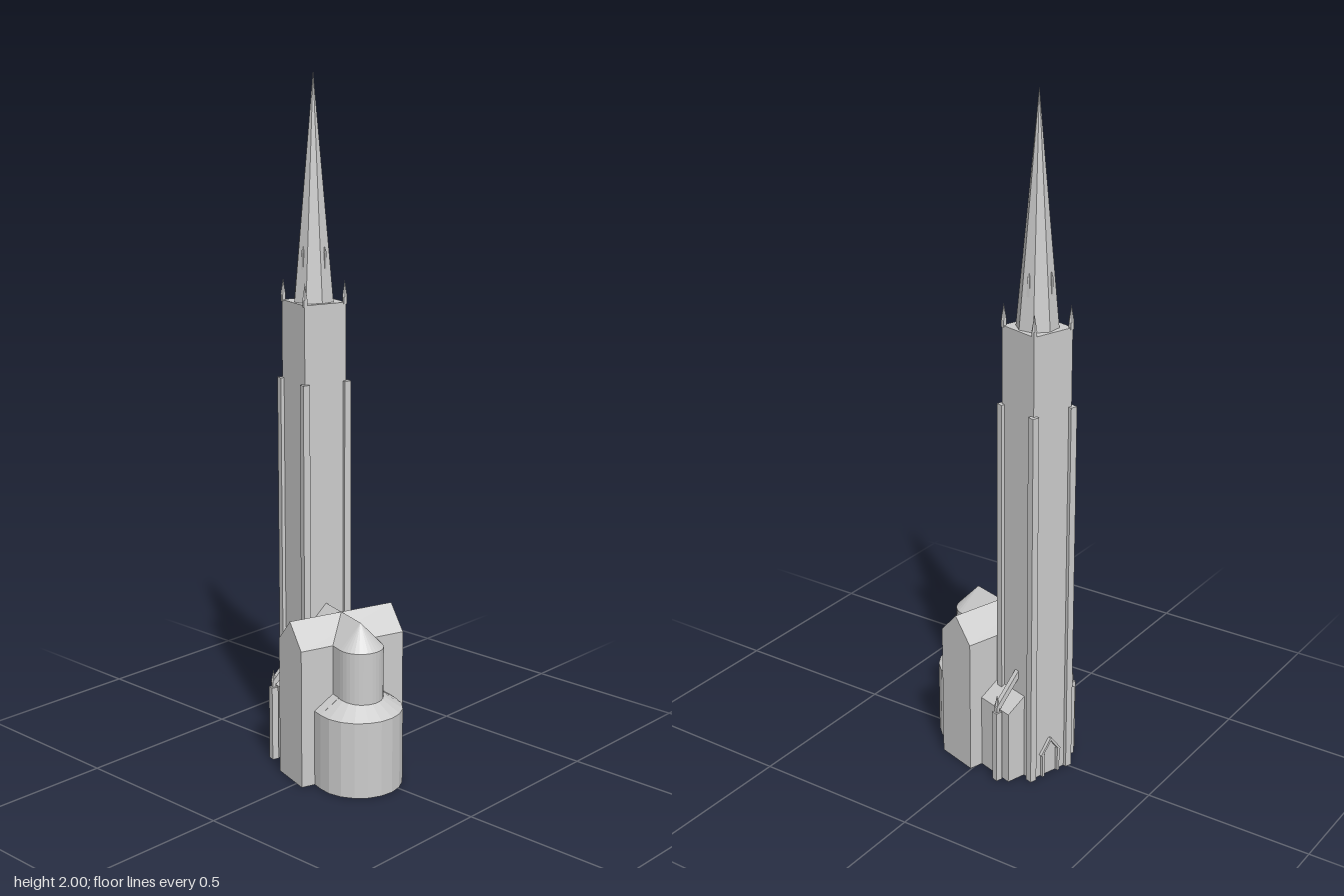
import * as THREE from 'three';

const stone = new THREE.MeshStandardMaterial({ color: 0xcccccc, flatShading: true });
stone.name = 'pale stone';

// Church frame: +x runs from the tower to the apse, origin at the crossing
const HALF = 0.066, EAVES = 0.41, RIDGE = 0.48;
const AISLE = 0.126, AISLE_EAVES = 0.225, AISLE_TOP = 0.265;
const TOWER_X = -0.156, TOWER_HALF = 0.067, TOWER_TOP = 1.36;

export function createModel() {
  const model = new THREE.Group();
  model.name = 'church';
  const church = new THREE.Group();
  church.name = 'churchBody';
  church.position.set(0.017, 0, 0.005);
  const yaw = THREE.MathUtils.degToRad(17);
  church.rotation.y = -yaw;
  model.add(church);

  const add = (name, geometry, x = 0, y = 0, z = 0, parent = church) => {
    const mesh = new THREE.Mesh(geometry, stone);
    mesh.name = name;
    mesh.position.set(x, y, z);
    parent.add(mesh);
    return mesh;
  };
  const box = (name, w, h, d, x, y, z, parent) =>
    add(name, new THREE.BoxGeometry(w, h, d), x, y + h / 2, z, parent);

  // Extrudes a (z, y) outline along x from x0 to x1
  const prism = (name, outline, x0, x1) => {
    const shape = new THREE.Shape(outline.map(([z, y]) => new THREE.Vector2(-z, y)));
    const g = new THREE.ExtrudeGeometry(shape, { depth: x1 - x0, bevelEnabled: false });
    g.rotateY(Math.PI / 2);
    return add(name, g, x0, 0, 0);
  };
  const gable = [[-HALF, 0], [HALF, 0], [HALF, EAVES], [0, RIDGE], [-HALF, EAVES]];

  // Nave, choir and transept with crossing gabled roofs
  prism('naveAndChoir', gable, -0.12, 0.108);
  const transept = prism('transept', gable, -0.168, 0.168);
  transept.rotation.y = Math.PI / 2;
  transept.position.set(0, 0, 0.168);

  // Rounded apse and the lower ambulatory around it
  const halfRound = (name, points, segments, x) => add(name, new THREE.LatheGeometry(
    points.map(([r, y]) => new THREE.Vector2(r, y)), segments, 0, Math.PI), x);
  halfRound('apse', [[0, 0], [HALF, 0], [HALF, EAVES], [0, RIDGE]], 16, 0.108);
  halfRound('ambulatory', [[0, 0], [AISLE, 0], [AISLE, AISLE_EAVES],
    [HALF - 0.002, AISLE_TOP]], 10, 0.1);
  prism('ambulatoryBays', [[-AISLE, 0], [AISLE, 0], [AISLE, AISLE_EAVES],
    [HALF, AISLE_TOP], [-HALF, AISLE_TOP], [-AISLE, AISLE_EAVES]], 0.05, 0.1);

  // Pointed pinnacle on a small square foot
  const pinnacle = (name, x, y, z, h) => {
    box(name + 'Foot', 0.01, h * 0.3, 0.01, x, y, z);
    add(name, new THREE.ConeGeometry(0.008, h * 0.7, 6), x, y + h * 0.65, z);
  };

  // Side aisles, each with a pier and a flying strut to the tower
  for (const s of [-1, 1]) {
    const outline = [[0.05, 0], [AISLE, 0], [AISLE, AISLE_EAVES], [HALF, AISLE_TOP], [0.05, AISLE_TOP]]
      .map(([z, y]) => [z * s, y]);
    prism('aisle', outline, -0.19, -0.06);
    box('aislePier', 0.02, 0.225, 0.02, TOWER_X, 0, s * 0.14);
    pinnacle('pierPinnacle', TOWER_X, 0.225, s * 0.14, 0.055);
    const rise = 0.09, run = 0.078;
    const strut = add('flyingStrut', new THREE.BoxGeometry(0.014, 0.016, Math.hypot(rise, run)),
      TOWER_X, 0.285, s * 0.1);
    strut.rotation.x = s * Math.atan2(rise, run);
  }

  // Tower with corner buttresses and pinnacles
  box('tower', TOWER_HALF * 2, TOWER_TOP, TOWER_HALF * 2, TOWER_X, 0, 0);
  for (const sx of [-1, 1]) for (const sz of [-1, 1]) {
    box('cornerButtress', 0.021, 1.135, 0.021, TOWER_X + sx * TOWER_HALF, 0, sz * TOWER_HALF);
    pinnacle('towerPinnacle', TOWER_X + sx * 0.064, TOWER_TOP - 0.005, sz * 0.064, 0.068);
  }

  // West doorway: jambs and a small pointed gable
  const front = TOWER_X - TOWER_HALF;
  for (const s of [-1, 1]) {
    box('doorJamb', 0.012, 0.075, 0.008, front - 0.004, 0, s * 0.028);
    const rafter = add('doorGable', new THREE.BoxGeometry(0.012, 0.007, 0.058),
      front - 0.004, 0.094, s * 0.017);
    rafter.rotation.x = s * 0.93;
  }

  // Octagonal spire, turned against the rest of the tower
  const spire = new THREE.Group();
  spire.name = 'spireGroup';
  spire.position.set(TOWER_X, TOWER_TOP, 0);
  spire.rotation.y = yaw;
  church.add(spire);
  const cone = new THREE.ConeGeometry(0.0595, 0.64, 8);
  cone.rotateY(Math.PI / 8);
  add('spire', cone, 0, 0.32, 0, spire);
  for (let i = 0; i < 4; i++) {
    const a = i * Math.PI / 2, x = Math.sin(a) * 0.043, z = Math.cos(a) * 0.043;
    box('spireDormer', 0.008, 0.12, 0.008, x, 0.02, z, spire);
    const cap = new THREE.ConeGeometry(0.0057, 0.02, 4);
    cap.rotateY(Math.PI / 4);
    add('dormerCap', cap, x, 0.15, z, spire);
  }
  return model;
}
